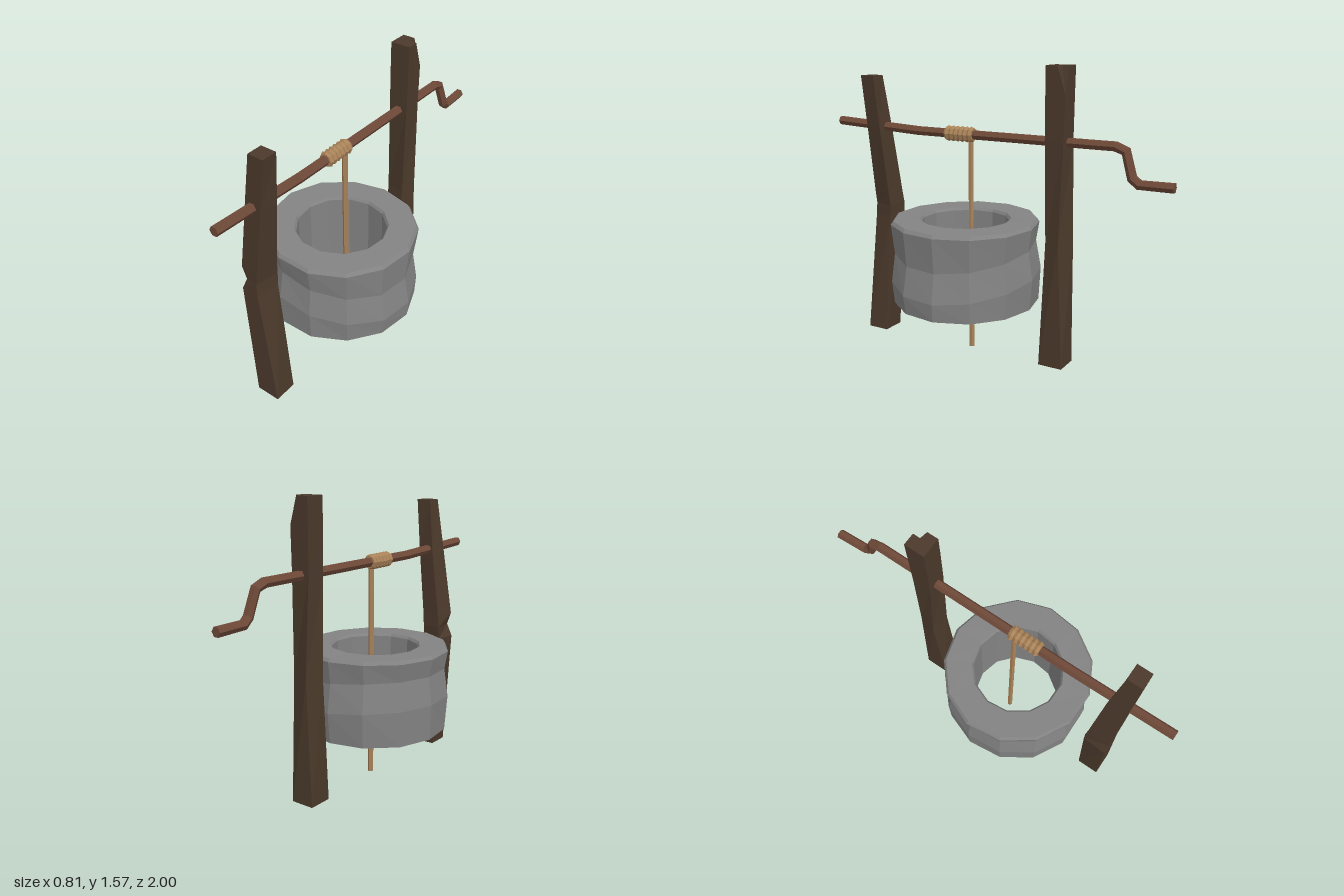
import * as THREE from 'three';

const mat = (name, color) => {
  const m = new THREE.MeshStandardMaterial({ color, flatShading: true });
  m.name = name;
  return m;
};

// Skin a stack of equal-length rings (counter-clockwise about the growth direction) and cap both ends.
function loft(rings) {
  const out = [];
  const tri = (a, b, c) => out.push(...a, ...b, ...c);
  const n = rings[0].length;
  for (let i = 0; i < rings.length - 1; i++) {
    for (let j = 0; j < n; j++) {
      const k = (j + 1) % n;
      tri(rings[i][j], rings[i][k], rings[i + 1][k]);
      tri(rings[i][j], rings[i + 1][k], rings[i + 1][j]);
    }
  }
  const first = rings[0], last = rings[rings.length - 1];
  for (let j = 1; j < n - 1; j++) {
    tri(first[0], first[j + 1], first[j]);
    tri(last[0], last[j], last[j + 1]);
  }
  const g = new THREE.BufferGeometry();
  g.setAttribute('position', new THREE.Float32BufferAttribute(out, 3));
  g.computeVertexNormals();
  return g;
}

// One level of a post: height followed by [x, z] corners
const level = (y, ...corners) => corners.map(([x, z]) => [x, y, z]);

export function createModel() {
  const model = new THREE.Group();
  model.name = 'well';
  const darkWood = mat('dark wood', 0x4b392b);
  const redWood = mat('reddish wood', 0x6e4938);
  const rope = mat('rope', 0xa98258);
  const stone = mat('stone', 0x838383);
  stone.side = THREE.DoubleSide;

  const add = (name, geometry, material, parent = model) => {
    const mesh = new THREE.Mesh(geometry, material);
    mesh.name = name;
    parent.add(mesh);
    return mesh;
  };

  // Stone wall: outer face, bevelled rim and inner shaft, open below
  const wallZ = 0.148, sides = 13;
  const profile = [
    [0.40, 0.28], [0.41, 0.435], [0.386, 0.59], [0.405, 0.722], [0.392, 0.74],
    [0.25, 0.74], [0.24, 0.725], [0.24, 0.23],
  ].map(([r, y]) => new THREE.Vector2(r, y));
  const wall = new THREE.LatheGeometry(profile, sides, Math.PI);
  const p = wall.attributes.position;
  for (let i = 0; i < p.count; i++) {
    const x = p.getX(i), y = p.getY(i), z = p.getZ(i);
    if (Math.hypot(x, z) < 0.3) continue;
    // uneven courses: the middle rows slope down toward +x
    const middle = y > 0.4 && y < 0.65;
    const a = Math.atan2(x, z);
    const k = 1 + 0.008 * Math.sin(3 * a + y * 9);
    p.setXYZ(i, x * k, y - (middle ? 0.13 * x : 0.01 * x) + (middle ? 0.012 * Math.cos(2 * a) : 0), z * k);
  }
  wall.computeVertexNormals();
  add('stoneWall', wall, stone).position.z = wallZ;

  // Crooked front post, corners: front left edge, front right, back right, back left
  add('frontPost', loft([
    level(0.005, [-0.065, 0.79], [0.068, 0.79], [0.068, 0.665], [-0.065, 0.665]),
    level(0.68, [-0.115, 0.775], [-0.017, 0.778], [0.01, 0.66], [-0.105, 0.642]),
    level(0.75, [-0.085, 0.77], [-0.02, 0.775], [0.008, 0.655], [-0.105, 0.64]),
    level(0.82, [-0.108, 0.772], [-0.008, 0.774], [0.015, 0.66], [-0.095, 0.645]),
    level(1.2, [-0.045, 0.771], [0.047, 0.771], [0.06, 0.675], [-0.035, 0.662]),
    level(1.49, [0.004, 0.77], [0.09, 0.77], [0.09, 0.687], [0.004, 0.687]),
  ]), darkWood);

  // Back post: the back corner is tripled so that its top can be chipped
  const chipped = (y, fl, fr, br, bl) => level(y, fl, fr, br, br, br, bl);
  add('backPost', loft([
    chipped(0.015, [-0.065, -0.34], [0.065, -0.34], [0.065, -0.472], [-0.065, -0.472]),
    chipped(0.68, [-0.065, -0.375], [0.04, -0.357], [0.067, -0.44], [-0.04, -0.475]),
    chipped(1.2, [-0.055, -0.352], [0.052, -0.35], [0.056, -0.452], [-0.053, -0.457]),
    chipped(1.43, [-0.055, -0.35], [0.055, -0.35], [0.055, -0.458], [-0.055, -0.458]),
    level(1.57, [-0.055, -0.35], [0.055, -0.35], [0.055, -0.412], [0.012, -0.42], [0.012, -0.46], [-0.055, -0.46]),
  ]), darkWood);

  // Axle bent into a crank at the back
  const path = [
    [0, 1.22, 1], [0, 1.195, 0.45], [0, 1.195, -0.7], [0, 1.175, -0.755],
    [0.012, 1.05, -0.795], [0.008, 1.022, -0.83], [0, 1.022, -1],
  ];
  const end = path.length - 1;
  add('axleAndCrank', loft(path.map(([x, y, z], i) => {
    // rings at the ends stay square to z; the others follow the bend
    const before = path[Math.max(i - 1, 0)], after = path[Math.min(i + 1, end)];
    const inner = i > 0 && i < end;
    const d1 = new THREE.Vector2(z - before[2], y - before[1]).normalize();
    const d2 = new THREE.Vector2(after[2] - z, after[1] - y).normalize();
    const d = inner ? d1.add(d2).normalize() : new THREE.Vector2(-1, 0);
    return Array.from({ length: 6 }, (_, j) => {
      const a = j * Math.PI / 3, c = 0.026 * Math.cos(a), s = 0.026 * Math.sin(a);
      return [x + c, y + s * d.x, z - s * d.y];
    });
  })), redWood);

  // Rope coiled on the axle, and its hanging end
  const coil = new THREE.Group();
  coil.name = 'ropeCoil';
  model.add(coil);
  const turn = new THREE.TorusGeometry(0.026, 0.017, 6, 8);
  for (let i = 0; i < 6; i++) {
    add('ropeTurn', turn, rope, coil).position.set(0, 1.195, 0.107 + i * 0.0285);
  }
  const hanging = new THREE.CylinderGeometry(0.015, 0.015, 1.19, 6);
  add('hangingRope', hanging, rope).position.set(0, 0.595, 0.112);

  return model;
}
